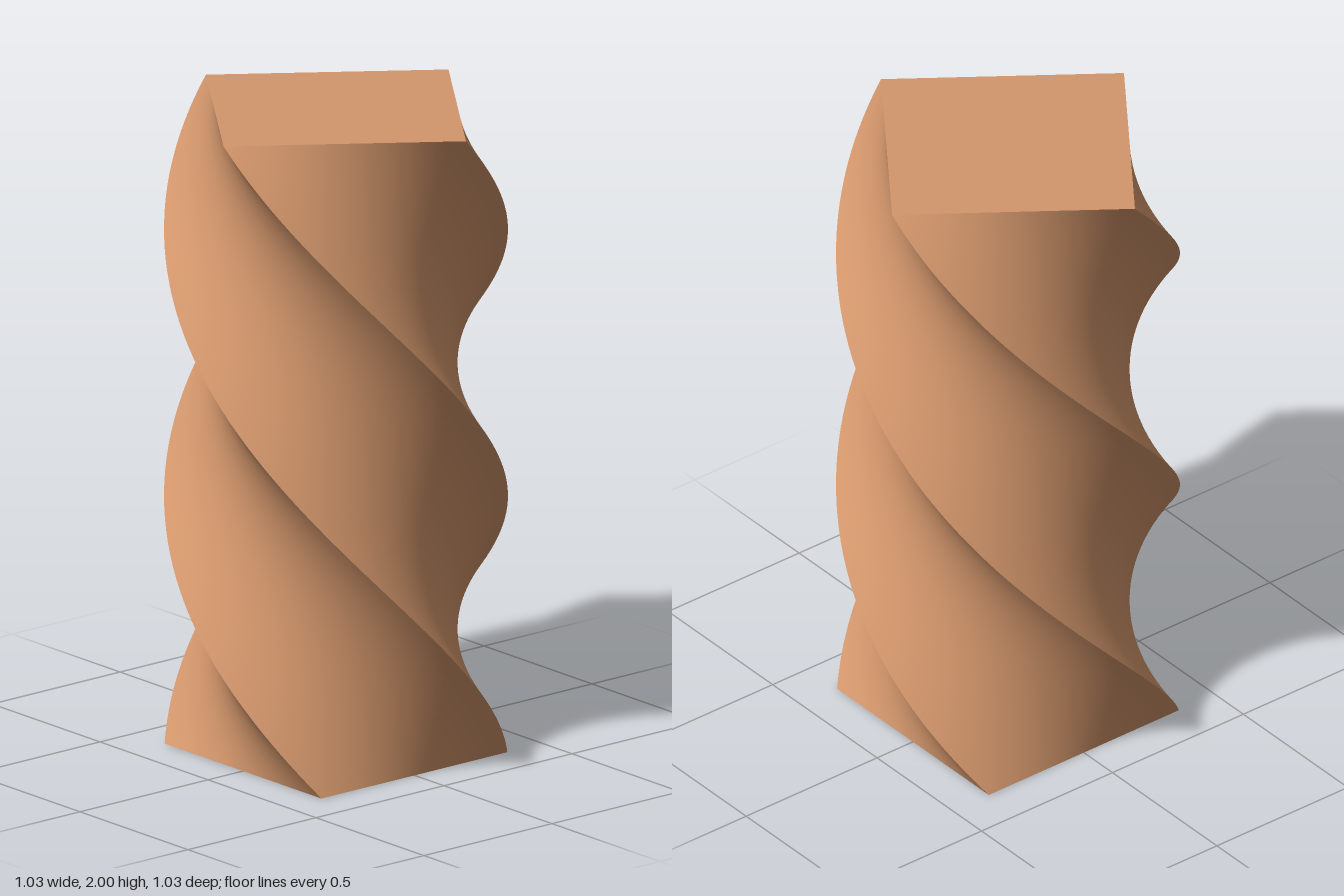
import * as THREE from 'three';

const HEIGHT = 2;
const SIDE = 0.726;
const TWIST = THREE.MathUtils.degToRad(216);

// Turns each level of the geometry about y, in proportion to its height.
function twist(geometry, total) {
  const p = geometry.attributes.position;
  for (let i = 0; i < p.count; i++) {
    const x = p.getX(i), y = p.getY(i), z = p.getZ(i);
    const a = total * y / HEIGHT;
    const c = Math.cos(a), s = Math.sin(a);
    p.setXYZ(i, x * c - z * s, y, x * s + z * c);
  }
  // Sides do not share vertices, so each is smooth and the edges stay sharp
  geometry.computeVertexNormals();
  return geometry;
}

export function createModel() {
  const group = new THREE.Group();
  group.name = 'twistedColumn';

  const clay = new THREE.MeshStandardMaterial({ color: 0xd4976c });
  clay.name = 'clay';

  // Square column twisted by three fifths of a turn
  const geometry = new THREE.BoxGeometry(SIDE, HEIGHT, SIDE, 24, 160, 24);
  geometry.translate(0, HEIGHT / 2, 0);
  const column = new THREE.Mesh(twist(geometry, TWIST), clay);
  column.name = 'column';
  group.add(column);

  return group;
}
